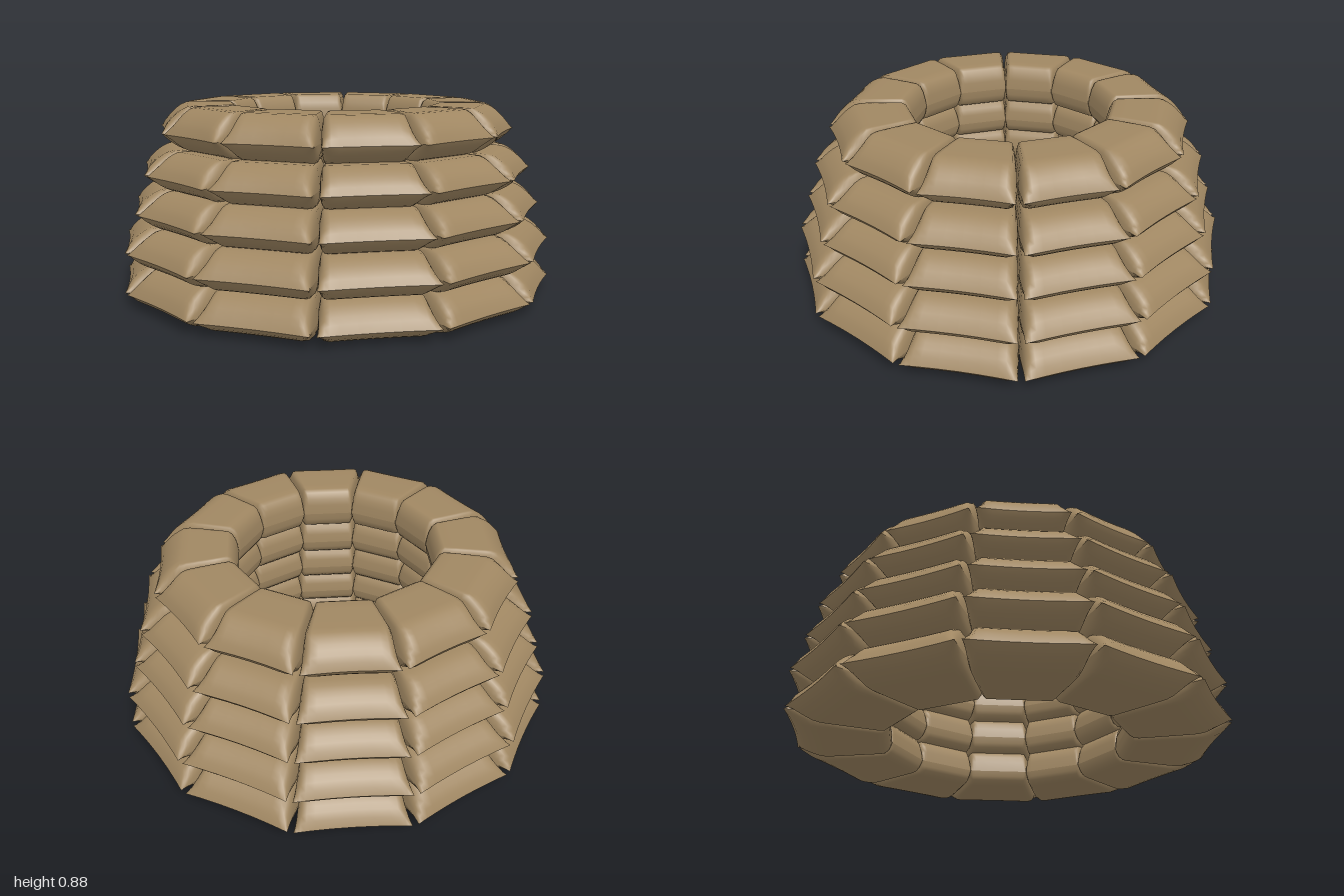
import * as THREE from 'three';

const BAGS = 12;
const HALF_WEDGE = Math.tan(Math.PI / BAGS);

// bottom, seam height, top, inner radius, outer radius of each course
const COURSES = [
  [0.0, 0.06, 0.172, 0.535, 0.99],
  [0.168, 0.24, 0.342, 0.515, 0.985],
  [0.338, 0.41, 0.512, 0.49, 0.935],
  [0.508, 0.58, 0.682, 0.465, 0.89],
  [0.678, 0.76, 0.876, 0.44, 0.81],
];

// grid stations, packed towards the seams
const ACROSS = [-1, -0.985, -0.95, -0.89, -0.8, -0.65, -0.35, 0, 0.35, 0.65, 0.8, 0.89, 0.95, 0.985, 1];
const ALONG = [0, 0.01, 0.03, 0.07, 0.12, 0.25, 0.45, 0.6, 0.68, 0.75, 0.81, 0.86, 0.91, 0.96, 1];

const round = (d, power) => Math.pow(1 - Math.pow(1 - Math.min(1, Math.max(0, d)), power), 1 / power);

// Wedge-shaped pillow: an upper and a lower sheet meeting in a sharp seam
function bagGeometry([bottom, seam, top, inner, outer]) {
  const positions = [], index = [];
  const columns = ALONG.length;
  for (const edge of [top, bottom]) {
    const base = positions.length / 3;
    for (const u of ACROSS) {
      for (const v of ALONG) {
        const tail = THREE.MathUtils.smoothstep(v, 0.55, 1);
        // outer seam sags inwards between its two ears
        const r = inner + (outer - inner) * v - 0.012 * (1 - u * u) * tail;
        const half = r * HALF_WEDGE - 0.014 * tail;
        const sideRound = round((1 - Math.abs(u)) * half / (0.018 + 0.04 * tail), 2 - 0.4 * tail);
        const innerRound = round((r - inner) / 0.045, 2);
        const outerRound = round((1 - v) * (outer - inner) / 0.13, 1.45);
        const fullness = sideRound * innerRound * outerRound;
        positions.push(u * half, seam + (edge - seam) * fullness, r);
      }
    }
    for (let i = 0; i < ACROSS.length - 1; i++) {
      for (let j = 0; j < columns - 1; j++) {
        const a = base + i * columns + j, b = a + 1, d = a + columns, c = d + 1;
        if (edge === top) index.push(a, b, c, a, c, d);
        else index.push(a, c, b, a, d, c);
      }
    }
  }
  const geometry = new THREE.BufferGeometry();
  geometry.setAttribute('position', new THREE.Float32BufferAttribute(positions, 3));
  geometry.setIndex(index);
  geometry.computeVertexNormals();
  return geometry;
}

export function createModel() {
  const model = new THREE.Group();
  model.name = 'sandbagRing';
  const burlap = new THREE.MeshStandardMaterial({ color: 0xa08762 });
  burlap.name = 'burlap';

  // Stacked courses, each a ring of identical bags
  COURSES.forEach((course, row) => {
    const ring = new THREE.Group();
    ring.name = `course${row + 1}`;
    const geometry = bagGeometry(course);
    for (let k = 0; k < BAGS; k++) {
      const bag = new THREE.Mesh(geometry, burlap);
      bag.name = `sandbag${k + 1}`;
      bag.rotation.y = (k * Math.PI * 2) / BAGS;
      ring.add(bag);
    }
    model.add(ring);
  });
  return model;
}
